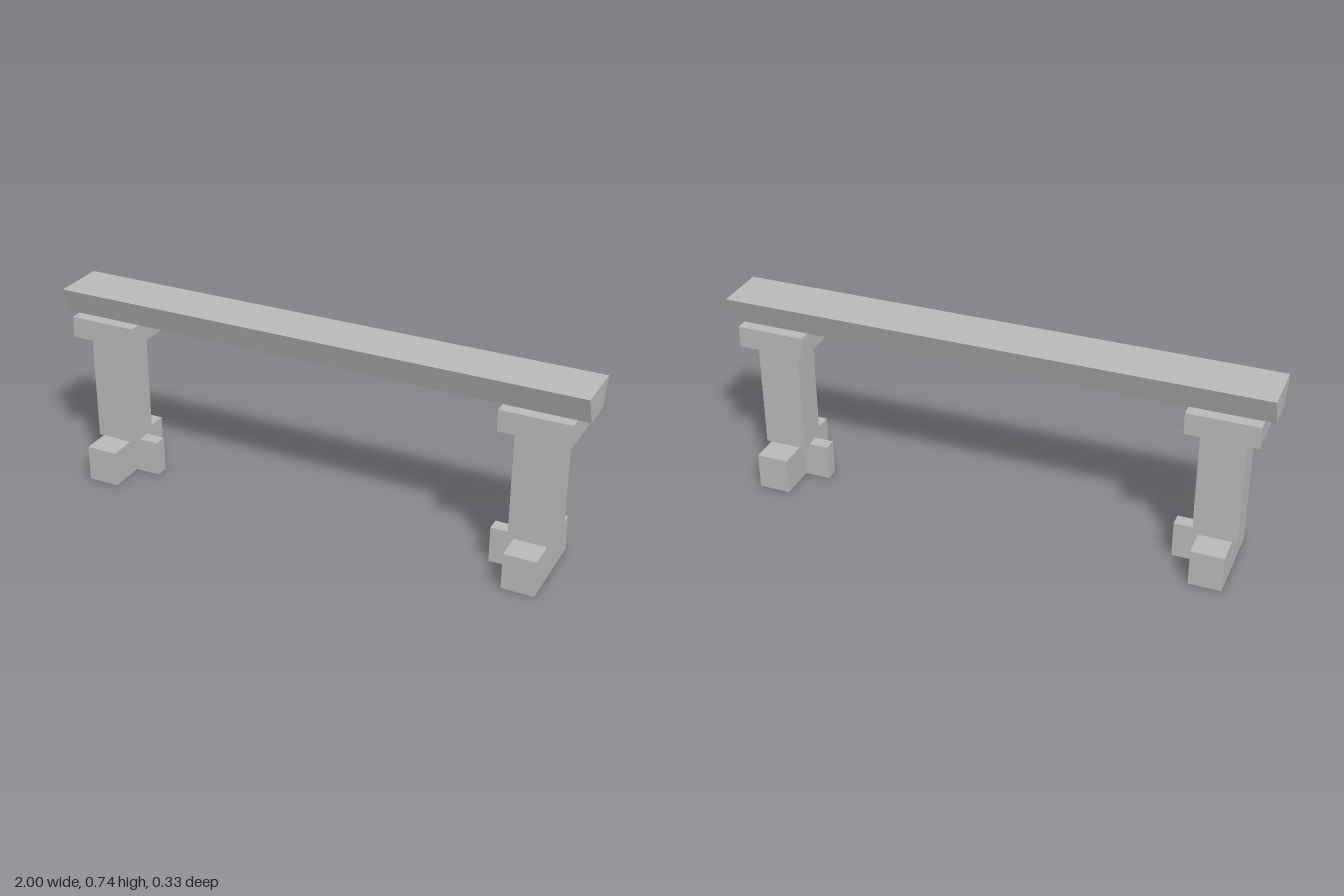
import * as THREE from 'three';

const stone = new THREE.MeshStandardMaterial({ color: 0xb8b8b8 });
stone.name = 'stoneGrey';

// Box given by its min/max extents, symmetric in z
function block(name, x0, x1, y0, y1, halfZ) {
  const mesh = new THREE.Mesh(new THREE.BoxGeometry(x1 - x0, y1 - y0, halfZ * 2), stone);
  mesh.position.set((x0 + x1) / 2, (y0 + y1) / 2, 0);
  mesh.name = name;
  return mesh;
}

// One support; side is +1 for the left, -1 for the right, the short foot points inwards
function support(side) {
  const group = new THREE.Group();
  group.name = side > 0 ? 'leftSupport' : 'rightSupport';
  const part = (name, inner, outer, y0, y1, halfZ) =>
    group.add(block(name, Math.min(side * inner, side * outer), Math.max(side * inner, side * outer), y0, y1, halfZ));
  part('capital', 0.703, 0.959, 0.557, 0.637, 0.104);
  part('post', 0.75, 0.91, 0.137, 0.557, 0.06);
  part('foot', 0.772, 0.892, 0, 0.137, 0.165);
  part('innerFoot', 0.675, 0.772, 0, 0.137, 0.025);
  group.position.x = -0.003;
  return group;
}

export function createModel() {
  const model = new THREE.Group();
  model.name = 'beamOnSupports';

  // Beam: box whose underside is narrowed to a trapezoid section
  const beam = block('beam', -1, 1, 0.637, 0.737, 0.1);
  const pos = beam.geometry.attributes.position;
  for (let i = 0; i < pos.count; i++) {
    if (pos.getY(i) < 0) pos.setZ(i, pos.getZ(i) * 0.6);
  }
  beam.geometry.computeVertexNormals();
  model.add(beam);

  for (const side of [-1, 1]) model.add(support(side));
  return model;
}
